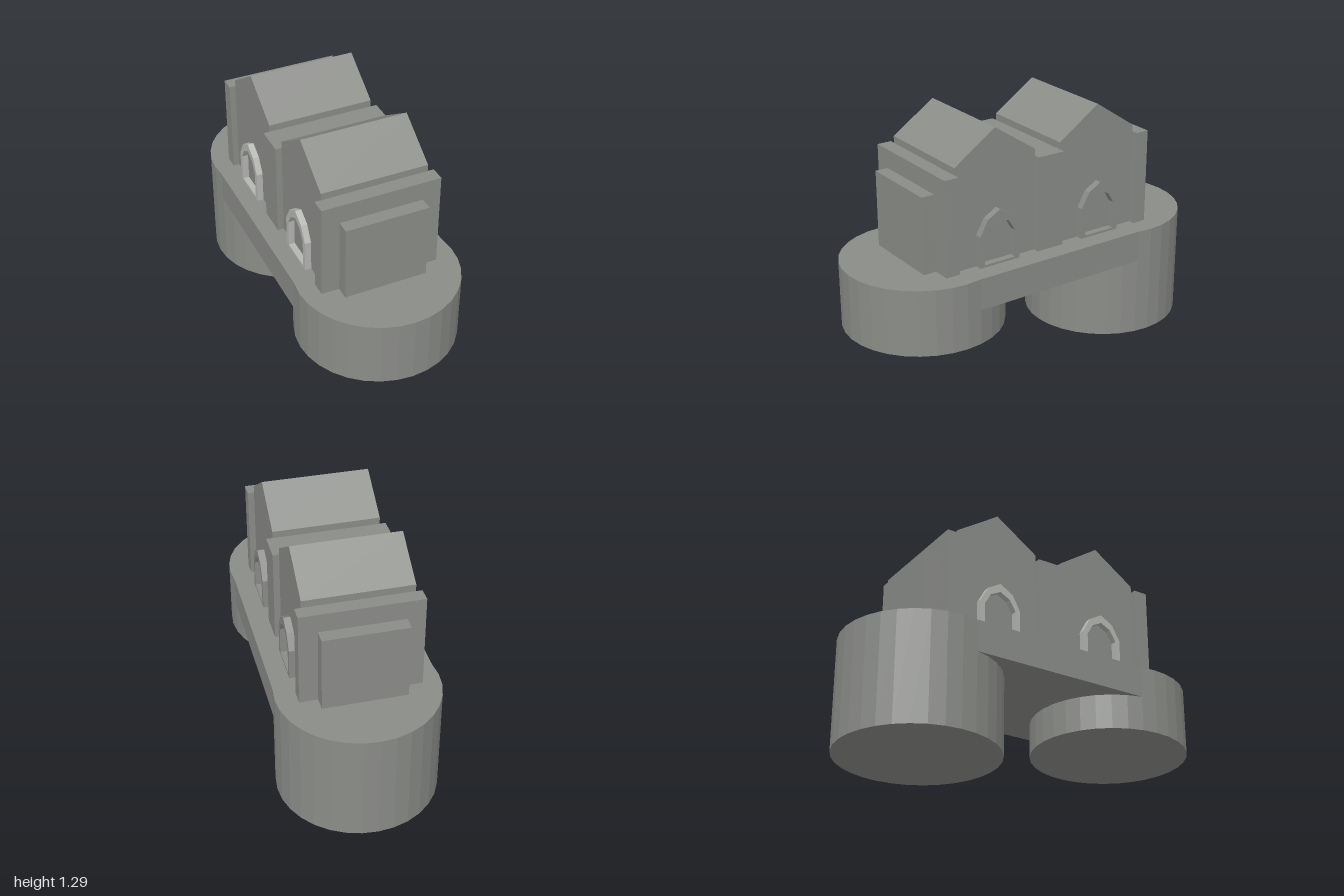
import * as THREE from 'three';

export function createModel() {
  const model = new THREE.Group();
  const stone = new THREE.MeshStandardMaterial({ color: 0x8a8c88, flatShading: true });
  stone.name = 'grey stone';
  const paleStone = new THREE.MeshStandardMaterial({ color: 0xb4b6b2, flatShading: true });
  paleStone.name = 'pale stone';

  const add = (name, geometry, material = stone) => {
    const mesh = new THREE.Mesh(geometry, material);
    mesh.name = name;
    model.add(mesh);
    return mesh;
  };
  // Box given by its limits on each axis
  const block = (name, x0, x1, y0, y1, z0, z1) =>
    add(name, new THREE.BoxGeometry(x1 - x0, y1 - y0, z1 - z0))
      .position.set((x0 + x1) / 2, (y0 + y1) / 2, (z0 + z1) / 2);
  // Profile drawn in (z, y), extruded along x from x0 to x1
  const extrudeX = (name, shape, x0, x1, z, material) => {
    const geometry = new THREE.ExtrudeGeometry(shape, { depth: x1 - x0, bevelEnabled: false });
    geometry.rotateY(Math.PI / 2);
    add(name, geometry, material).position.set(x0, 0, z);
  };
  const points = (list) => list.map(([a, b]) => new THREE.Vector2(a, b));

  // Two round piers of unequal depth, joined by a flat deck
  const deckTop = 0.588;
  for (const [name, z, bottom] of [['frontPier', 0.58, 0.235], ['backPier', -0.58, 0]]) {
    add(name, new THREE.CylinderGeometry(0.42, 0.42, deckTop - bottom, 32))
      .position.set(0, (deckTop + bottom) / 2, z);
  }
  block('deck', -0.412, 0.412, 0.42, deckTop, -0.58, 0.58);

  // Cross walls between and beyond the halls
  for (const [name, z0, z1] of [
    ['frontCrossWall', 0.55, 0.628], ['middleCrossWall', -0.077, 0.08], ['backCrossWall', -0.625, -0.55],
  ]) block(name, -0.322, 0.308, deckTop, 1.095, z0, z1);

  // Raised end panels
  block('frontPanel', -0.228, 0.212, deckTop, 0.995, 0.628, 0.698);
  block('backPanel', -0.228, 0.212, deckTop, 0.995, -0.698, -0.625);

  // Gabled halls with an arched window frame on each side
  const hall = new THREE.Shape(points([
    [-0.236, deckTop], [0.236, deckTop], [0.236, 1.132], [0, 1.29], [-0.236, 1.132],
  ]));
  const arch = (half, bottom, shoulder, haunchX, haunchY, top) => points([
    [-half, bottom], [half, bottom], [half, shoulder], [haunchX, haunchY],
    [0, top], [-haunchX, haunchY], [-half, shoulder],
  ]);
  const frame = new THREE.Shape(arch(0.117, deckTop, 0.755, 0.072, 0.836, 0.878));
  frame.holes.push(new THREE.Path(arch(0.09, 0.6, 0.745, 0.056, 0.803, 0.832)));
  for (const [side, z] of [['front', 0.315], ['back', -0.313]]) {
    extrudeX(side + 'Hall', hall, -0.29, 0.275, z);
    extrudeX(side + 'LeftWindowFrame', frame, 0.275, 0.312, z);
    extrudeX(side + 'RightWindowFrame', frame, -0.323, -0.29, z, paleStone);
  }
  return model;
}
